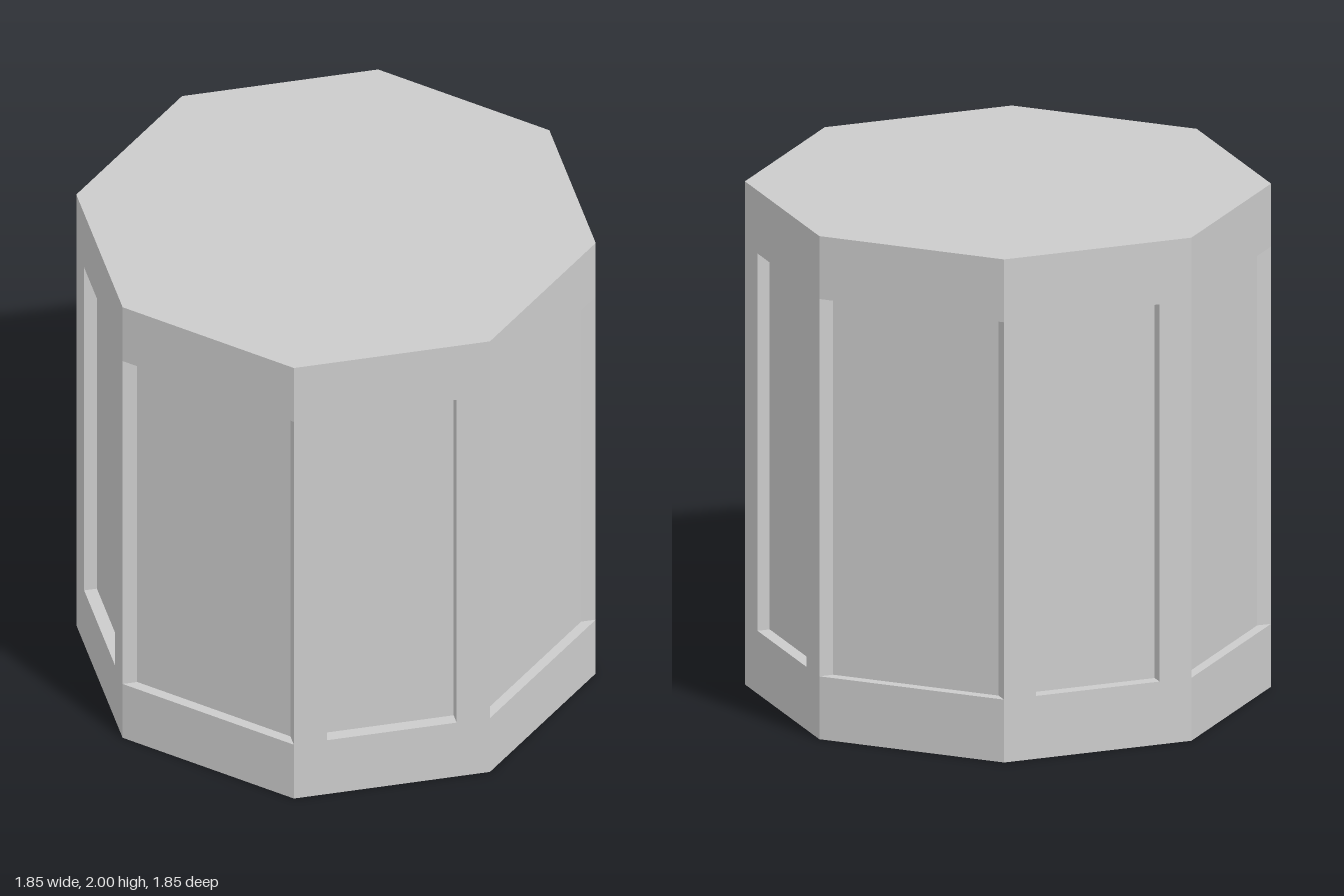
import * as THREE from 'three';

const A = 0.924;      // centre to flat face
const H = 0.383;      // half of a face's width
const P = 0.253;      // half width of a framed panel
const D = 0.05;       // depth of a framed panel
const C = 0.057;      // setback of the corner panels, along x or z

const material = new THREE.MeshStandardMaterial({ color: 0xcccccc, flatShading: true });

// Repeats a quarter outline four times around the centre
function ring(quarter) {
  const centre = new THREE.Vector2();
  const points = [];
  for (let k = 0; k < 4; k++) {
    for (const [x, y] of quarter) {
      points.push(new THREE.Vector2(x, y).rotateAround(centre, k * Math.PI / 2));
    }
  }
  return new THREE.Shape(points);
}

// Extrudes a floor plan upwards from y0 to y1
function storey(name, shape, y0, y1) {
  const geometry = new THREE.ExtrudeGeometry(shape, { depth: y1 - y0, bevelEnabled: false });
  geometry.rotateX(-Math.PI / 2).translate(0, y0, 0);
  const mesh = new THREE.Mesh(geometry, material);
  mesh.name = name;
  return mesh;
}

export function createModel() {
  const group = new THREE.Group();
  group.name = 'octagonalPedestal';

  const octagon = ring([[A, -H], [A, H]]);

  // Framed recess on each straight face, full-width recess on each diagonal
  const panelled = ring([
    [A, -H], [A, -P], [A - D, -P], [A - D, P], [A, P], [A, H],
    [A - C, H], [H, A - C],
  ]);

  group.add(
    storey('base', octagon, 0, 0.25),
    storey('panelledBody', panelled, 0.25, 1.75),
    storey('top', octagon, 1.75, 2),
  );
  return group;
}
